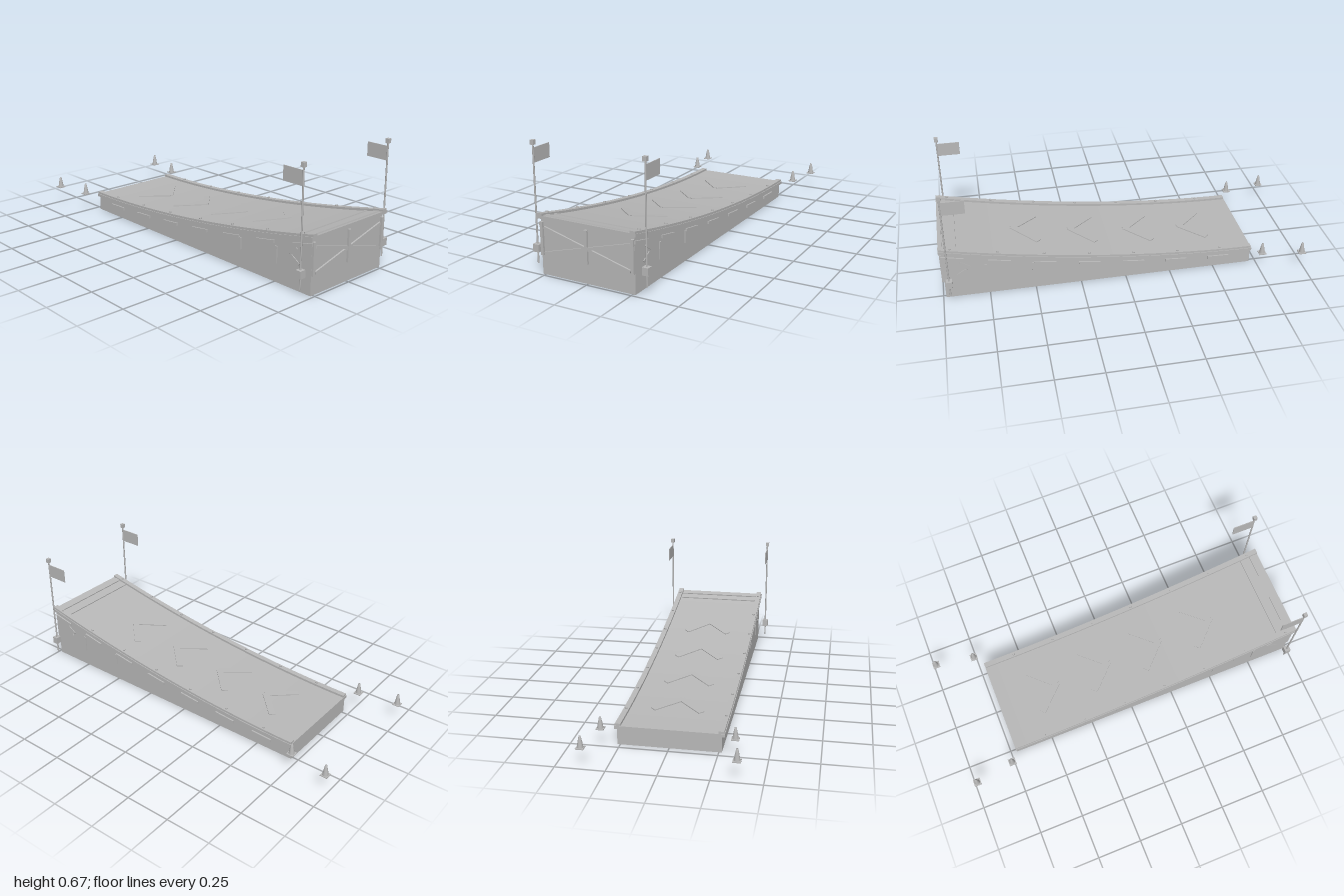
import * as THREE from 'three';

const grey = new THREE.MeshStandardMaterial({ color: 0xb8b8b8 });
grey.name = 'plain grey';
const greyThin = new THREE.MeshStandardMaterial({ color: 0xb8b8b8, side: THREE.DoubleSide });
greyThin.name = 'plain grey';

const BACK = -0.715, FRONT = 1;

// Height of the riding surface along the ramp
const deckY = z => 0.101 + 0.205 * Math.pow(Math.max(0, (z - BACK) / (FRONT - BACK)), 1.85);
const slope = z => Math.atan((deckY(z + 0.01) - deckY(z - 0.01)) / 0.02);

export function createModel() {
  const model = new THREE.Group();
  model.name = 'stuntRamp';

  const add = (name, geometry, x = 0, y = 0, z = 0, parent = model, material = grey) => {
    const mesh = new THREE.Mesh(geometry, material);
    mesh.name = name;
    mesh.position.set(x, y, z);
    parent.add(mesh);
    return mesh;
  };
  const box = (name, w, h, d, x, y, z, parent) =>
    add(name, new THREE.BoxGeometry(w, h, d), x, y, z, parent);

  // Strip that follows the ramp curve; lo and hi give its lower and upper edge
  const ribbon = (name, x0, x1, z0, z1, lo, hi, steps = 24) => {
    const shape = new THREE.Shape();
    const at = i => z0 + (z1 - z0) * i / steps;
    shape.moveTo(z0, lo(z0));
    for (let i = 1; i <= steps; i++) shape.lineTo(at(i), lo(at(i)));
    for (let i = steps; i >= 0; i--) shape.lineTo(at(i), hi(at(i)));
    const g = new THREE.ExtrudeGeometry(shape, { depth: x1 - x0, bevelEnabled: false });
    g.rotateY(-Math.PI / 2).translate(x1, 0, 0);
    return add(name, g);
  };

  // Solid base and curved deck
  ribbon('rampBody', -0.265, 0.265, BACK, 0.985, () => 0, z => deckY(z) - 0.01);
  ribbon('deck', -0.28, 0.28, BACK - 0.003, FRONT, z => deckY(z) - 0.016, deckY);

  // Cross bars at the lip
  for (const [z, d] of [[0.965, 0.03], [0.9, 0.012]])
    box('lipBar', 0.49, 0.008, d, 0, deckY(z) + 0.002, z).rotation.x = -slope(z);

  // Arrow markings on the deck
  for (const z of [0.61, 0.29, -0.03, -0.35]) {
    const chevron = new THREE.Group();
    chevron.name = 'chevron';
    chevron.position.set(0, deckY(z - 0.07) + 0.002, z - 0.07);
    chevron.rotation.x = -slope(z - 0.07);
    model.add(chevron);
    for (const s of [-1, 1])
      box('chevronArm', 0.19, 0.006, 0.036, s * 0.062, 0, -0.012, chevron).rotation.y = s * 0.8;
  }

  // Front bracing: three posts and two crossed diagonals
  for (const x of [-0.257, 0, 0.257])
    box('frontPost', 0.015, 0.172, 0.016, x, 0.188, 0.989);
  for (const s of [-1, 1])
    box('frontDiagonal', 0.505, 0.014, 0.012, 0, 0.179, 0.988).rotation.z = s * 0.264;

  for (const s of [-1, 1]) {
    const span = (a, b) => [Math.min(s * a, s * b), Math.max(s * a, s * b)];

    // Edge rail with bolts
    ribbon('edgeRail', ...span(0.247, 0.276), BACK, FRONT, z => deckY(z) - 0.004, z => deckY(z) + 0.012);
    for (let i = 0; i < 7; i++) {
      const z = 0.94 - i * 0.246;
      add('railBolt', new THREE.CylinderGeometry(0.007, 0.007, 0.012, 8), s * 0.261, deckY(z) + 0.013, z)
        .rotation.x = -slope(z);
    }

    // Broken stripe along the side
    for (let i = 0; i < 7; i++) {
      const z = 0.93 - i * 0.243;
      ribbon('sideStripe', ...span(0.262, 0.273), z - 0.06, z + 0.06,
        y => deckY(y) - 0.052, y => deckY(y) - 0.036, 4);
    }

    // Side posts and short braces
    for (const [z, lo, hi] of [[0.76, 0.1, 0.19], [0.51, 0.1, 0.165]])
      box('sidePost', 0.012, hi - lo, 0.014, s * 0.264, (lo + hi) / 2, z);
    for (const [y, z, tilt] of [[0.155, 0.885, 0.55], [0.2, 0.87, -0.6]])
      box('sideBrace', 0.01, 0.012, 0.06, s * 0.264, y, z).rotation.x = tilt;

    // Flag pole with bracket, cap and flag
    const flagPole = new THREE.Group();
    flagPole.name = 'flagPole';
    flagPole.position.set(s * 0.312, 0, 0.96);
    model.add(flagPole);
    add('pole', new THREE.CylinderGeometry(0.0045, 0.0045, 0.61, 8), 0, 0.345, 0, flagPole);
    box('poleBracket', 0.034, 0.04, 0.032, 0, 0.121, 0, flagPole);
    box('poleCap', 0.02, 0.024, 0.02, 0, 0.653, 0, flagPole);
    add('flag', new THREE.BoxGeometry(0.004, 0.075, 0.122), 0, 0.588, -0.062, flagPole);

    // Traffic cones behind the ramp
    for (const [x, z] of [[0.337, -0.76], [0.373, -0.98]]) {
      const cone = new THREE.Group();
      cone.name = 'trafficCone';
      cone.position.set(s * x, 0.101, z);
      model.add(cone);
      box('coneBase', 0.04, 0.005, 0.04, 0, 0.0025, 0, cone);
      const profile = [[0.016, 0.004], [0.011, 0.035], [0.009, 0.045], [0.005, 0.064], [0, 0.064]]
        .map(p => new THREE.Vector2(...p));
      add('coneBody', new THREE.LatheGeometry(profile, 10), 0, 0, 0, cone, greyThin);
    }
  }

  return model;
}
